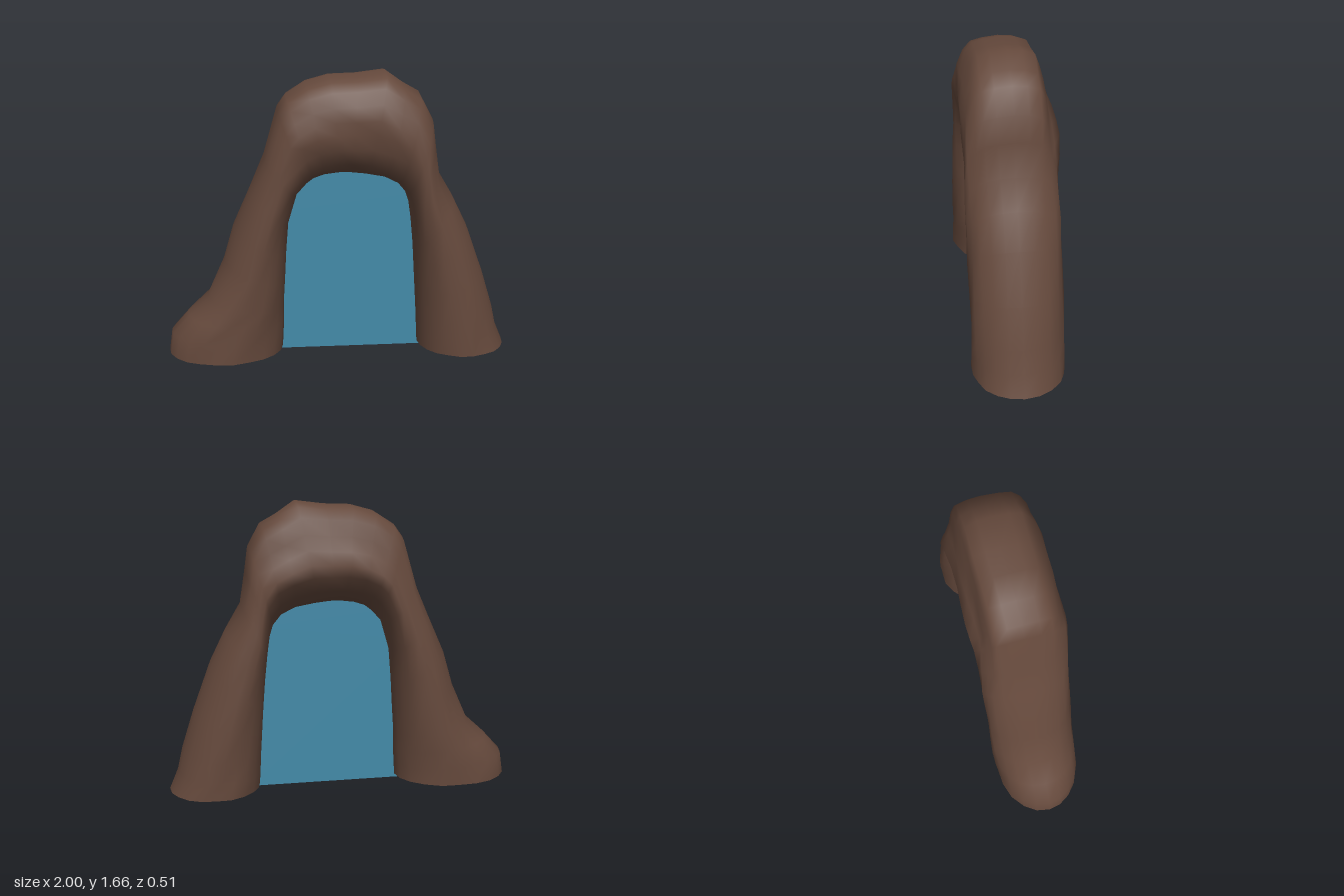
import * as THREE from 'three';

// Stations along the arch, from the right foot over the crown to the left foot:
// inner x, inner y, outer x, outer y
const STATIONS = [
  [-0.33, 0.02, -1, 0.02], [-0.325, 0.1, -0.98, 0.15], [-0.32, 0.2, -0.88, 0.26],
  [-0.32, 0.3, -0.76, 0.37], [-0.31, 0.45, -0.66, 0.59], [-0.3, 0.62, -0.6, 0.79],
  [-0.285, 0.8, -0.5, 1.01], [-0.235, 0.97, -0.42, 1.19], [-0.18, 1.03, -0.34, 1.46],
  [-0.14, 1.06, -0.29, 1.53], [-0.08, 1.08, -0.18, 1.6], [0, 1.09, -0.05, 1.635],
  [0.06, 1.09, 0.1, 1.64], [0.15, 1.08, 0.26, 1.66], [0.26, 1.06, 0.36, 1.59],
  [0.34, 1.02, 0.45, 1.54], [0.39, 0.96, 0.52, 1.41], [0.41, 0.9, 0.54, 1.27],
  [0.425, 0.8, 0.57, 1.09], [0.44, 0.65, 0.66, 0.94], [0.45, 0.5, 0.75, 0.76],
  [0.46, 0.35, 0.85, 0.49], [0.47, 0.2, 0.92, 0.27], [0.475, 0.1, 0.95, 0.14],
  [0.48, 0.02, 1, 0.02],
];

// Crown cross-section: share of the way from inner to outer edge, share of half depth.
// The back is hollowed out above a sharp lip.
const CROWN = [
  [0, 0], [0.01, 0.25], [0.05, 0.5], [0.14, 0.75], [0.3, 0.94], [0.45, 1], [0.58, 1],
  [0.72, 0.93], [0.86, 0.77], [0.95, 0.6], [0.98, 0.35], [1, 0],
  [0.99, -0.3], [0.95, -0.56], [0.85, -0.66], [0.7, -0.75], [0.55, -0.85], [0.42, -1],
  [0.3, -0.9], [0.15, -0.6], [0.04, -0.3],
];
const HALF_DEPTH = 0.257;

function archGeometry() {
  const n = CROWN.length, front = 11, pos = [], index = [];
  STATIONS.forEach(([ix, iy, ox, oy], s) => {
    // Legs are elliptical and turn into the crown section higher up
    const w = THREE.MathUtils.smoothstep((iy + oy) / 2, 0.8, 1.25);
    CROWN.forEach(([cu, cz], i) => {
      const t = i <= front ? Math.PI * i / front : Math.PI * (1 + (i - front) / (n - front));
      const u = THREE.MathUtils.lerp(0.5 - 0.5 * Math.cos(t), cu, w);
      let z = THREE.MathUtils.lerp(Math.sin(t), cz, w);
      // Shallow weathered grooves running up the rock
      z *= 1 - 0.025 * Math.sin(Math.PI * u) * (1 + Math.sin(s * 1.3 + i * 2.1));
      pos.push(ix + (ox - ix) * u, iy + (oy - iy) * u, z * HALF_DEPTH);
      if (s < STATIONS.length - 1) {
        const a = s * n + i, b = s * n + (i + 1) % n;
        index.push(a, a + n, b, b, a + n, b + n);
      }
    });
  });
  const g = new THREE.BufferGeometry();
  g.setAttribute('position', new THREE.Float32BufferAttribute(pos, 3));
  g.setIndex(index);
  g.computeVertexNormals();
  return g;
}

export function createModel() {
  const group = new THREE.Group();

  // Hollow rock arch, open under both feet
  const rock = new THREE.Mesh(archGeometry(),
    new THREE.MeshStandardMaterial({ color: 0x65493c, side: THREE.DoubleSide }));
  rock.name = 'rockArch';
  group.add(rock);

  // Flat sheet filling the opening, its edge tucked into the rock
  const shape = new THREE.Shape();
  shape.moveTo(-0.42, 0);
  shape.lineTo(0.53, 0);
  shape.lineTo(0.5, 0.8);
  shape.quadraticCurveTo(0.46, 1.14, 0.06, 1.16);
  shape.quadraticCurveTo(-0.3, 1.14, -0.36, 0.8);
  shape.closePath();
  const sheet = new THREE.Mesh(new THREE.ShapeGeometry(shape),
    new THREE.MeshStandardMaterial({ color: 0x438aa8, side: THREE.DoubleSide }));
  sheet.name = 'openingSheet';
  group.add(sheet);

  return group;
}
